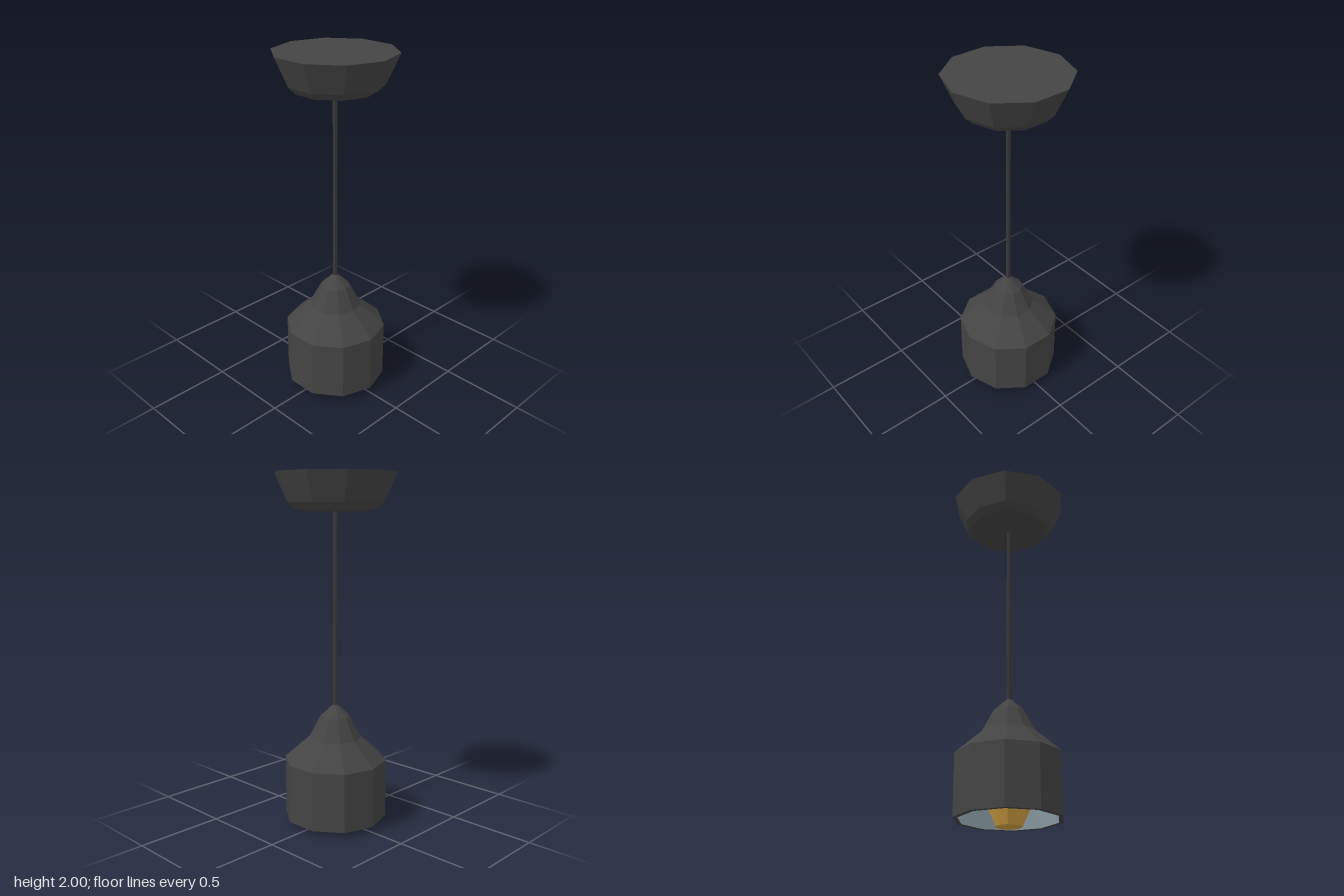
import * as THREE from 'three';

const SIDES = 10;

function material(name, color) {
  const m = new THREE.MeshStandardMaterial({ color });
  m.name = name;
  return m;
}

// Faceted turned part from a [radius, height] profile; rising points face outward
function turned(name, profile, mat, sides = SIDES) {
  const points = profile.map(([r, y]) => new THREE.Vector2(r, y));
  const geometry = new THREE.LatheGeometry(points, sides).toNonIndexed();
  geometry.computeVertexNormals();
  const mesh = new THREE.Mesh(geometry, mat);
  mesh.name = name;
  return mesh;
}

export function createModel() {
  const metal = material('charcoal metal', 0x444444);
  const cable = material('dark cable', 0x383838);
  const lining = material('pale blue lining', 0x9fb4be);
  const amber = material('amber glass', 0xd4a244);

  const model = new THREE.Group();
  model.name = 'pendantLamp';

  // Ceiling canopy, closed at both ends
  model.add(turned('canopy', [
    [0, 1.79], [0.165, 1.79], [0.23, 1.8], [0.267, 1.838], [0.34, 2], [0, 2],
  ], metal));

  // Hanging cord
  model.add(turned('cord', [[0.013, 0.68], [0.013, 1.8]], cable, 8));

  // Outer shade with its bottom rim
  model.add(turned('shade', [
    [0.27, 0.035], [0.295, 0.035], [0.295, 0.375], [0.15, 0.505],
    [0.085, 0.63], [0.015, 0.695], [0, 0.7],
  ], metal));

  // Reflector inside the shade, falling profile faces inward
  model.add(turned('reflector', [[0, 0.36], [0.14, 0.34], [0.27, 0.035]], lining));

  // Bulb
  model.add(turned('bulb', [
    [0, 0], [0.07, 0], [0.122, 0.11], [0.115, 0.18], [0.06, 0.34], [0, 0.35],
  ], amber));

  return model;
}
